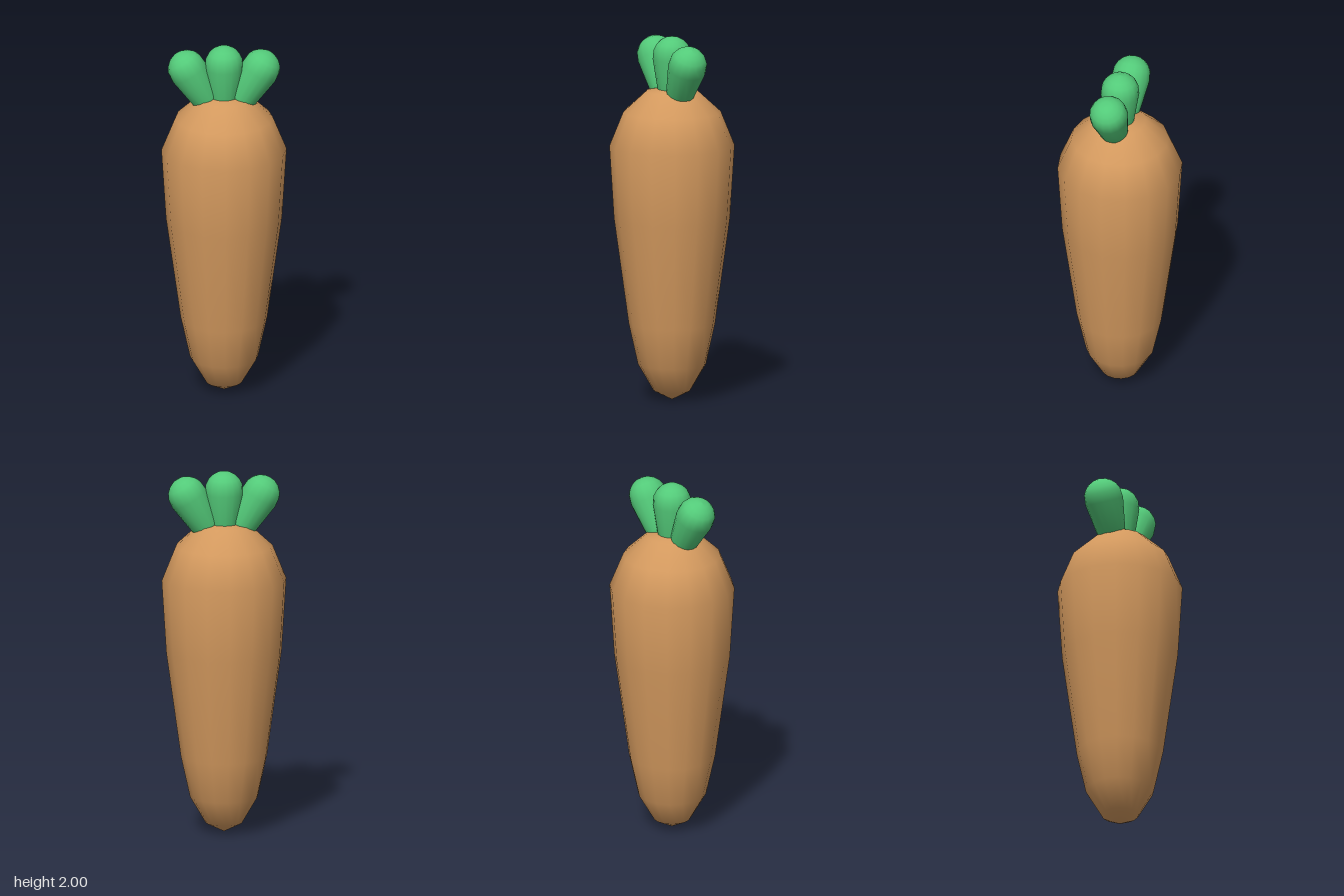
import * as THREE from 'three';

const SIDES = 16;

// Turned shape from [radius, height] pairs, bottom to top
function turned(name, profile, material) {
  const points = profile.map(([r, y]) => new THREE.Vector2(r, y));
  const mesh = new THREE.Mesh(new THREE.LatheGeometry(points, SIDES), material);
  mesh.name = name;
  return mesh;
}

export function createModel() {
  const model = new THREE.Group();
  model.name = 'carrot';

  const orange = new THREE.MeshStandardMaterial({ color: 0xd3995e });
  orange.name = 'carrotOrange';
  const green = new THREE.MeshStandardMaterial({ color: 0x53ca79 });
  green.name = 'leafGreen';

  // Tapered root with a rounded shoulder
  model.add(turned('root', [
    [0, 0], [0.1, 0.05], [0.185, 0.195], [0.235, 0.42], [0.315, 1.0],
    [0.34, 1.4], [0.265, 1.585], [0.14, 1.7], [0, 1.725],
  ], orange));

  // Leaf: narrow stem end widening to a round tip; origin at the tip's centre
  const leafProfile = [[0, -0.25], [0.055, -0.235], [0.077, -0.195], [0.105, -0.02]];
  for (let i = 1; i <= 5; i++) {
    const a = (i / 5) * Math.PI / 2;
    leafProfile.push([i === 5 ? 0 : 0.105 * Math.cos(a), 0.105 * Math.sin(a)]);
  }

  // One upright leaf and a mirrored pair leaning outwards
  for (const [name, side] of [['leftLeaf', 1], ['middleLeaf', 0], ['rightLeaf', -1]]) {
    const leaf = turned(name, leafProfile, green);
    leaf.position.set(side * 0.2, side ? 1.87 : 1.895, 0);
    leaf.rotation.z = -side * 0.52;
    model.add(leaf);
  }
  return model;
}
